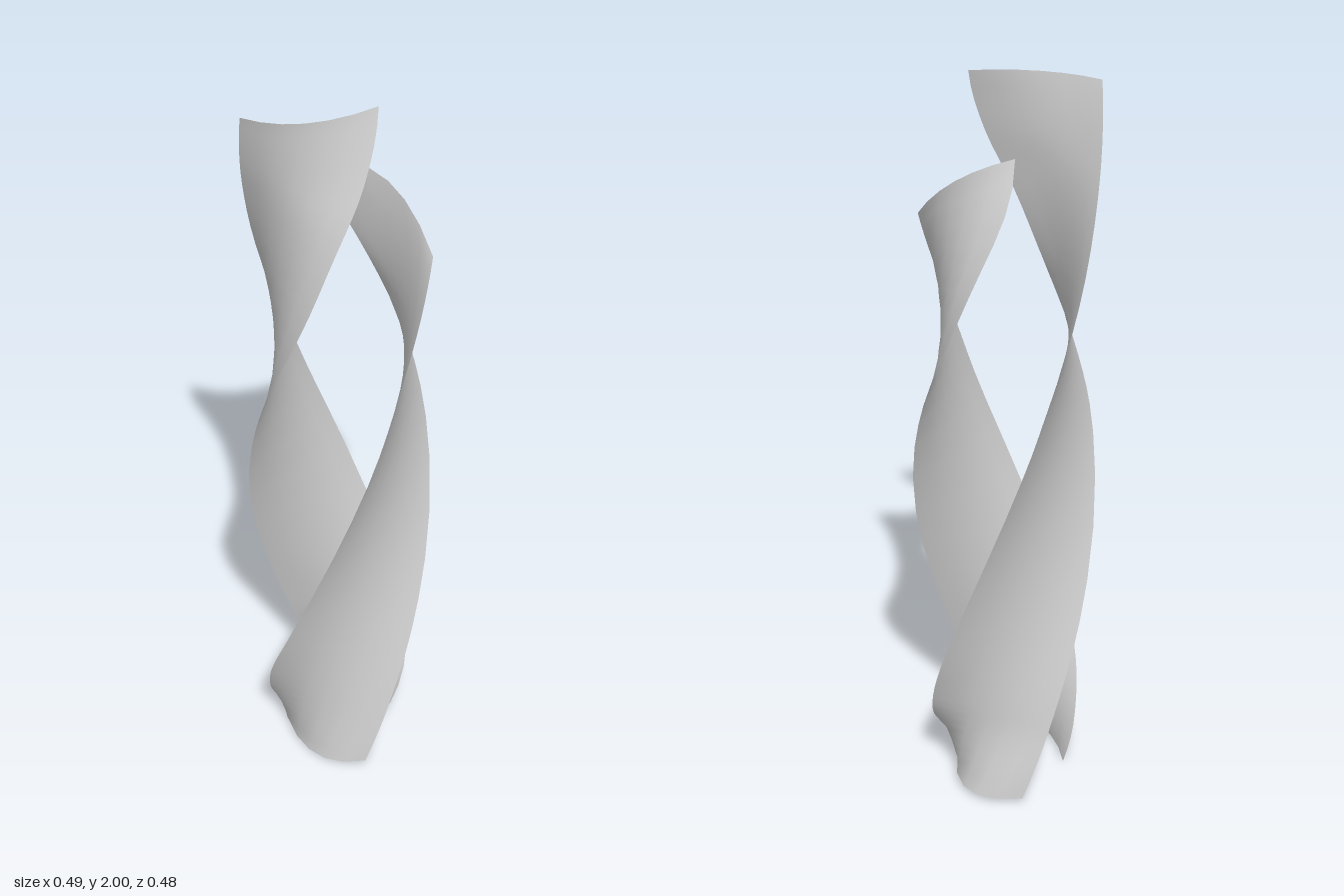
import * as THREE from 'three';

const COLS = 6;
const ROWS_PER_STATION = 4;

// Stations from bottom to top. Each holds leading edge, middle line and
// trailing edge as [height, angle in degrees from +z towards +x, radius].
const frontStations = [
  [[0.02, -77, 0.175], [0.0, 0, 0.185], [0.02, 45, 0.24]],
  [[0.13, -50, 0.2], [0.13, 10, 0.175], [0.13, 55, 0.242]],
  [[0.3, -25, 0.23], [0.3, 25, 0.172], [0.3, 70, 0.242]],
  [[0.52, 0, 0.242], [0.52, 45, 0.171], [0.52, 90, 0.242]],
  [[1.0, 45, 0.242], [1.0, 90, 0.171], [1.0, 135, 0.24]],
  [[1.27, 67, 0.242], [1.27, 112, 0.168], [1.27, 161, 0.212]],
  [[1.45, 84, 0.242], [1.5, 131, 0.155], [1.53, 187, 0.13]],
  [[1.6, 99, 0.243], [1.74, 141, 0.13], [1.8, 246, 0.05]],
];

const backStations = [
  [[0.02, 94, 0.13], [0.015, 180, 0.205], [0.02, 225, 0.245]],
  [[0.17, 137, 0.2], [0.17, 194, 0.175], [0.17, 239, 0.242]],
  [[0.3, 156, 0.226], [0.3, 205, 0.172], [0.3, 250, 0.242]],
  [[0.52, 180, 0.242], [0.52, 225, 0.171], [0.52, 270, 0.242]],
  [[1.0, 224, 0.242], [1.0, 269, 0.171], [1.0, 314, 0.24]],
  [[1.2, 241, 0.243], [1.2, 286, 0.17], [1.2, 331, 0.22]],
  [[1.45, 264, 0.243], [1.45, 309, 0.165], [1.42, 356, 0.187]],
  [[1.7, 286, 0.243], [1.7, 330, 0.15], [1.65, 384, 0.15]],
  [[1.83, 298, 0.244], [1.83, 338, 0.138], [1.82, 417, 0.12]],
  [[1.98, 311, 0.245], [1.985, 346, 0.125], [2.0, 456, 0.1]],
];

// Smooth helical rail through one column of the stations.
function rail(stations, column) {
  const keys = stations.map((s) => new THREE.Vector3(...s[column]));
  const curve = new THREE.CatmullRomCurve3(keys, false, 'catmullrom', 0.5);
  return (v) => {
    const p = curve.getPoint(v);
    const a = THREE.MathUtils.degToRad(p.y);
    return new THREE.Vector3(Math.sin(a) * p.z, p.x, Math.cos(a) * p.z);
  };
}

// Twisted ribbon: a parabola across the three rails at every row.
function ribbon(name, stations, material) {
  const rails = [0, 1, 2].map((c) => rail(stations, c));
  const rows = (stations.length - 1) * ROWS_PER_STATION;
  const geometry = new THREE.PlaneGeometry(1, 1, COLS, rows);
  const position = geometry.attributes.position;
  for (let j = 0; j <= rows; j++) {
    const [lead, mid, trail] = rails.map((f) => f(1 - j / rows));
    for (let i = 0; i <= COLS; i++) {
      const u = i / COLS;
      const p = new THREE.Vector3()
        .addScaledVector(lead, (1 - u) * (1 - 2 * u))
        .addScaledVector(mid, 4 * u * (1 - u))
        .addScaledVector(trail, u * (2 * u - 1));
      position.setXYZ(j * (COLS + 1) + i, p.x, p.y, p.z);
    }
  }
  geometry.computeVertexNormals();
  const mesh = new THREE.Mesh(geometry, material);
  mesh.name = name;
  return mesh;
}

export function createModel() {
  const material = new THREE.MeshStandardMaterial({ color: 0xcccccc, side: THREE.DoubleSide });
  const group = new THREE.Group();
  group.name = 'doubleHelix';
  group.add(ribbon('frontRibbon', frontStations, material));
  group.add(ribbon('backRibbon', backStations, material));
  return group;
}
